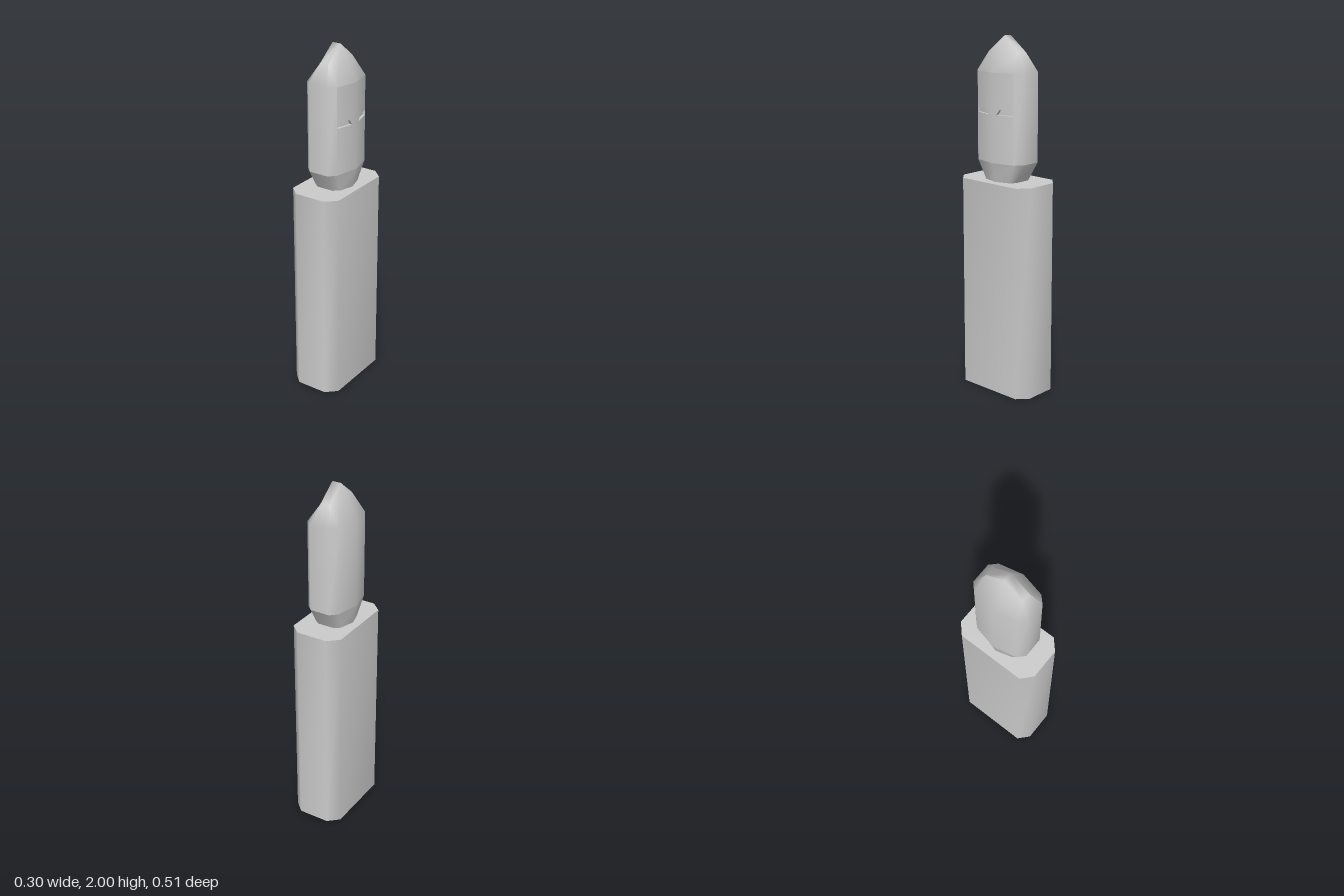
import * as THREE from 'three';

const material = new THREE.MeshStandardMaterial({ color: 0xcccccc, side: THREE.DoubleSide });

// Smooth-shaded skin over closed rings of [x, y, z], listed from bottom to top
function loft(rings, capFaces = [], isOpen = () => false) {
  const n = rings[0].length;
  const index = [...capFaces];
  const kept = [...capFaces];
  for (let r = 0; r < rings.length - 1; r++) {
    for (let i = 0; i < n; i++) {
      const j = (i + 1) % n;
      const a = r * n + i, b = r * n + j, c = b + n, d = a + n;
      index.push(a, d, b, b, d, c);
      if (!isOpen(r, i)) kept.push(a, d, b, b, d, c);
    }
  }
  const g = new THREE.BufferGeometry();
  g.setAttribute('position', new THREE.Float32BufferAttribute(rings.flat(2), 3));
  g.setIndex(index);
  g.computeVertexNormals();
  g.setIndex(kept); // openings are cut after the normals are smoothed
  return g;
}

const ringAt = (outline, y, sx = 1, sz = 1) => outline.map(([x, z]) => [x * sx, y, z * sz]);

// Surface of the slit side of the head: gently bowed from the middle to the edge
const EDGE = 0.132;
const sideX = (z) => 0.125 - 0.03 * Math.pow(Math.abs(z) / EDGE, 1.5);

// Turns a flat shape drawn in (-z, y) into a piece of that side
function wrapToSide(shape, depth) {
  const g = new THREE.ShapeGeometry(shape);
  const p = g.attributes.position, nrm = g.attributes.normal;
  for (let i = 0; i < p.count; i++) {
    const z = -p.getX(i), y = p.getY(i);
    p.setXYZ(i, sideX(z) - depth, y, z);
    const n = new THREE.Vector3(0.94, 0, 0.36 * z / EDGE).normalize();
    nrm.setXYZ(i, n.x, n.y, n.z);
  }
  return g;
}

const toShape = (points) => new THREE.Shape(points.map(([z, y]) => new THREE.Vector2(-z, y)));

export function createModel() {
  const model = new THREE.Group();
  model.name = 'figure';
  const add = (name, geometry) => {
    const mesh = new THREE.Mesh(geometry, material);
    mesh.name = name;
    model.add(mesh);
  };

  // Body: tall prism with cut corners, open underneath
  const bodyOutline = [
    [0.15, -0.198], [0.15, 0.198], [0.09, 0.253], [-0.09, 0.253],
    [-0.15, 0.198], [-0.15, -0.198], [-0.09, -0.253], [0.09, -0.253],
  ];
  add('body', loft([ringAt(bodyOutline, 0), ringAt(bodyOutline, 1.213)]));
  const top = new THREE.ShapeGeometry(new THREE.Shape(bodyOutline.map(([x, z]) => new THREE.Vector2(x, -z))));
  top.rotateX(-Math.PI / 2).translate(0, 1.213, 0);
  add('bodyTop', top);

  // Neck: tapers down into the body
  const headOutline = [
    [0.125, 0], [0.095, EDGE], [0.058, 0.169], [-0.058, 0.169], [-0.095, EDGE],
    [-0.125, 0], [-0.095, -EDGE], [-0.058, -0.169], [0.058, -0.169], [0.095, -EDGE],
  ];
  add('neck', loft([ringAt(headOutline, 1.213, 0.84, 0.65), ringAt(headOutline, 1.32)]));

  // Head: straight sides closing to a narrow ridge that peaks in the middle
  const ridge = headOutline.map(([x, z]) => (
    z === 0 ? [Math.sign(x) * 0.025, 2, 0] : [Math.sign(x) * 0.025, 1.915, Math.sign(z) * 0.11]
  ));
  const ridgeFaces = [0, 3, 2, 0, 5, 3, 0, 8, 7, 0, 7, 5].map((i) => i + 20);
  add('head', loft(
    [ringAt(headOutline, 1.32), ringAt(headOutline, 1.81), ridge],
    ridgeFaces,
    (r, i) => r === 0 && (i === 0 || i === 9),
  ));

  // Slit side of the head: two mirrored panels, each with a recessed eye slit
  for (const s of [1, -1]) {
    const side = s > 0 ? 'left' : 'right';
    const slit = [[0.03, 1.585], [0.13, 1.585], [0.13, 1.615], [0.05, 1.615]].map(([z, y]) => [s * z, y]);
    const panel = toShape([[0, 1.32], [s * EDGE, 1.32], [s * EDGE, 1.81], [0, 1.81]]);
    panel.holes.push(new THREE.Path(slit.map(([z, y]) => new THREE.Vector2(-z, y))));
    add(side + 'FacePanel', wrapToSide(panel, 0));

    const depth = 0.015;
    add(side + 'EyeSlitBack', wrapToSide(toShape(slit), depth));
    const rims = [depth, 0].map((d) => slit.map(([z, y]) => [sideX(z) - d, y, z]));
    const walls = loft(rims).toNonIndexed();
    walls.computeVertexNormals();
    add(side + 'EyeSlitWalls', walls);
  }

  return model;
}
